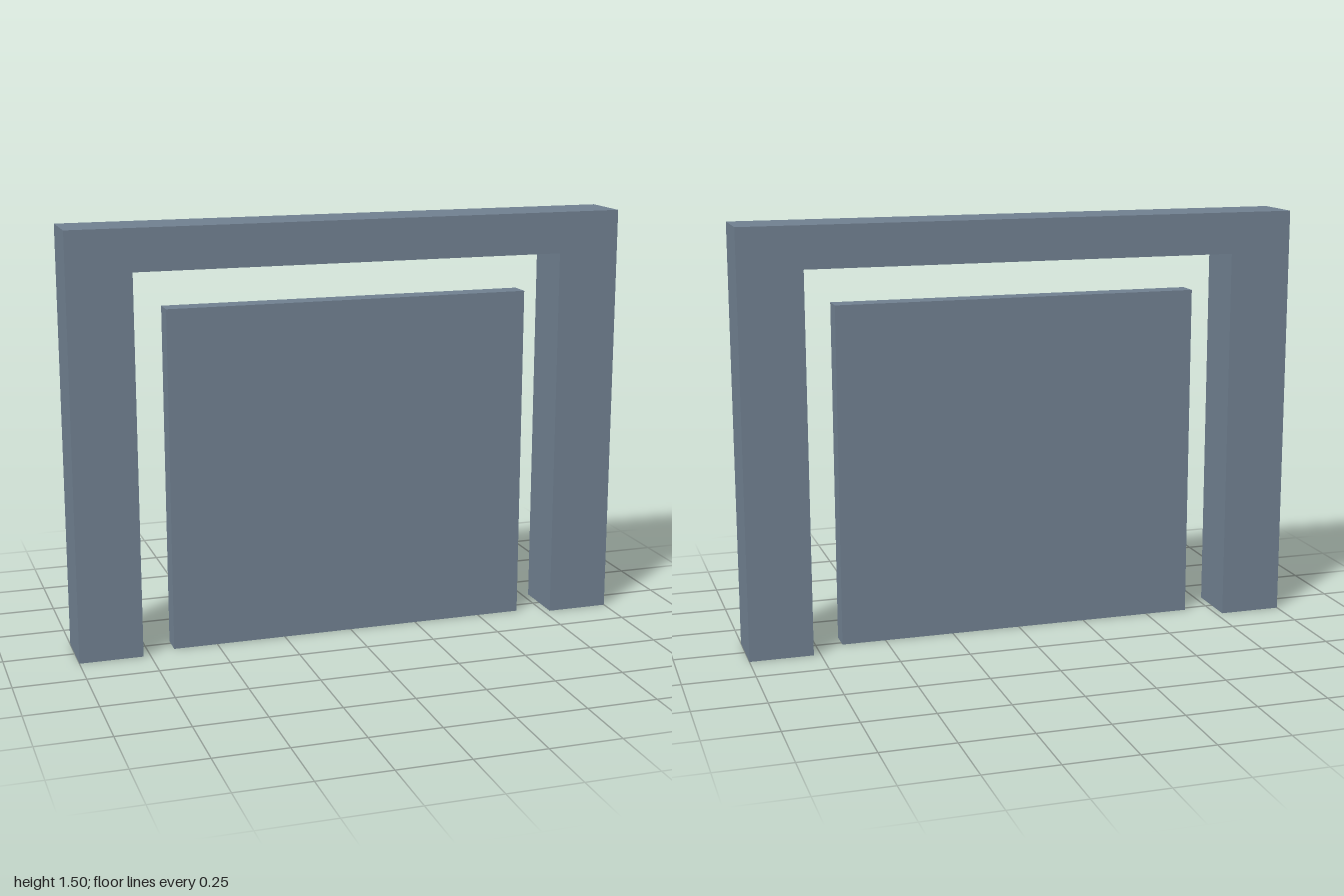
import * as THREE from 'three';

export function createModel() {
  const model = new THREE.Group();
  const slate = new THREE.MeshStandardMaterial({ color: 0x708090 });
  slate.name = 'slate grey';

  // Upright surround: two legs joined by a lintel, cut as one outline
  const outline = new THREE.Shape([
    [-1, 0], [-0.775, 0], [-0.775, 1.352], [0.775, 1.352],
    [0.775, 0], [1, 0], [1, 1.5], [-1, 1.5],
  ].map(([x, y]) => new THREE.Vector2(x, y)));
  const frameGeometry = new THREE.ExtrudeGeometry(outline, { depth: 0.2, bevelEnabled: false });
  frameGeometry.translate(0, 0, -0.1);
  const frame = new THREE.Mesh(frameGeometry, slate);
  frame.name = 'surroundFrame';
  model.add(frame);

  // Free-standing thin panel inside the opening, set slightly forward
  const panelHeight = 1.216;
  const panel = new THREE.Mesh(new THREE.BoxGeometry(1.314, panelHeight, 0.08), slate);
  panel.name = 'innerPanel';
  panel.position.set(0, panelHeight / 2, 0.02);
  model.add(panel);

  return model;
}
